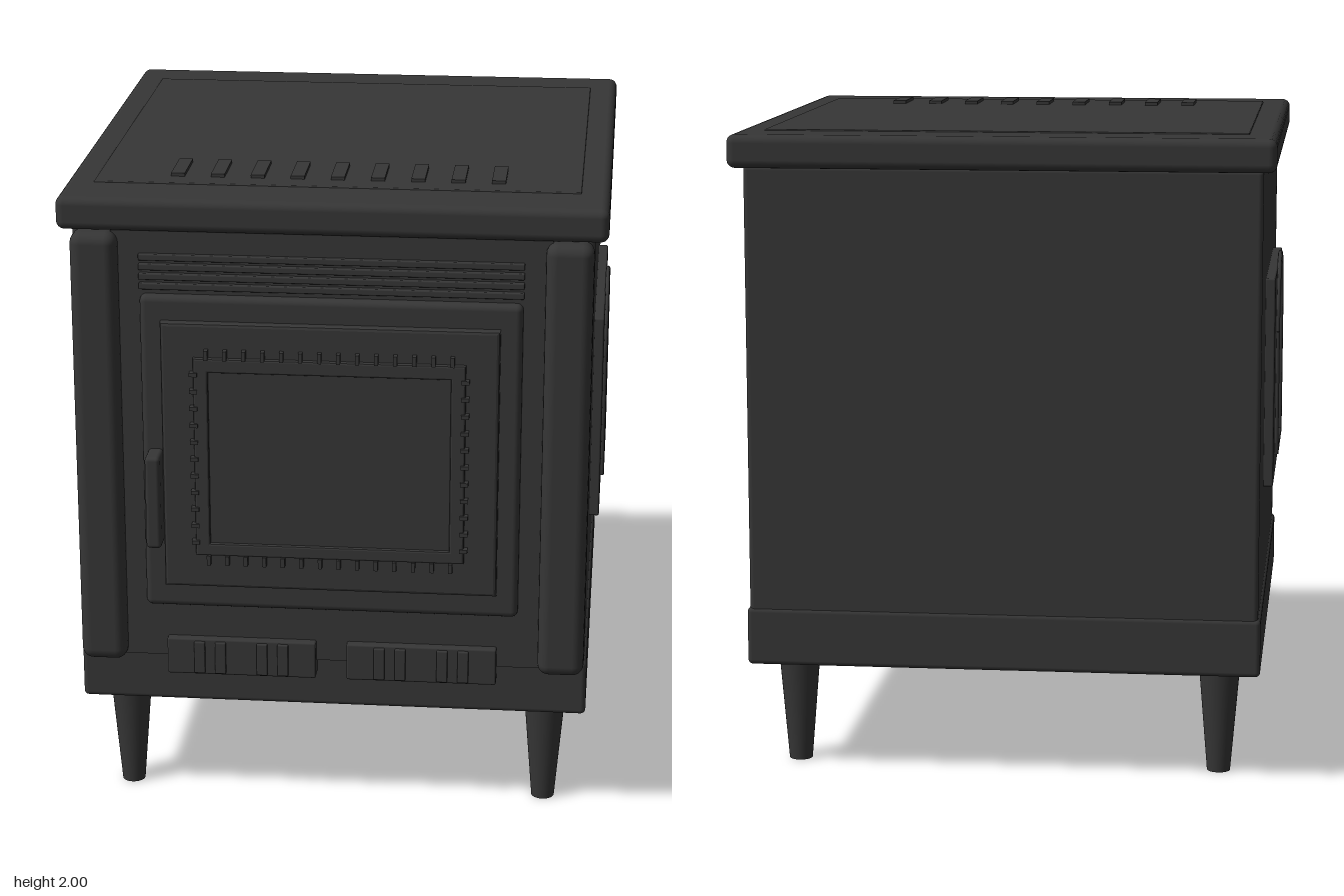
import * as THREE from 'three';
import { RoundedBoxGeometry } from 'three/addons/geometries/RoundedBoxGeometry.js';

const iron = new THREE.MeshStandardMaterial({ color: 0x363636 });
iron.name = 'cast iron';

export function createModel() {
  const stove = new THREE.Group();
  stove.name = 'stove';

  const add = (name, geometry, parent = stove) => {
    const mesh = new THREE.Mesh(geometry, iron);
    mesh.name = name;
    parent.add(mesh);
    return mesh;
  };
  // Box given by its extents, with optional rounded edges
  const box = (name, x0, x1, y0, y1, z0, z1, r = 0, parent = stove) => {
    const size = [x1 - x0, y1 - y0, z1 - z0];
    const g = r ? new RoundedBoxGeometry(...size, 3, r) : new THREE.BoxGeometry(...size);
    add(name, g, parent).position.set((x0 + x1) / 2, (y0 + y1) / 2, (z0 + z1) / 2);
  };
  // Rectangular frame with an opening, extruded along z
  const frame = (name, [x, y0, y1], [hx, hy0, hy1], z0, z1, bevel, parent) => {
    const rect = (path, w, a, b) => path.moveTo(-w, a).lineTo(w, a).lineTo(w, b).lineTo(-w, b).closePath();
    const shape = rect(new THREE.Shape(), x - bevel, y0 + bevel, y1 - bevel);
    shape.holes.push(rect(new THREE.Path(), hx + bevel, hy0 - bevel, hy1 + bevel));
    const g = new THREE.ExtrudeGeometry(shape, {
      depth: z1 - z0 - bevel, bevelEnabled: true, bevelThickness: bevel, bevelSize: bevel, bevelSegments: 2,
    });
    g.translate(0, 0, z0);
    add(name, g, parent);
  };

  // Main casing
  box('body', -0.782, 0.782, 0.5, 1.89, -0.84, 0.755, 0.015);
  box('base', -0.79, 0.79, 0.345, 0.525, -0.845, 0.76, 0.015);
  box('frontPanel', -0.66, 0.66, 0.51, 1.885, 0.74, 0.785);
  box('topSlab', -0.822, 0.822, 1.885, 1.986, -0.9, 0.81, 0.025);
  box('topPlate', -0.735, 0.735, 1.97, 1.99, -0.73, 0.625, 0.004);
  for (let i = 0; i < 9; i++) {
    const x = -0.489 + i * 0.1218;
    box('topSlat', x - 0.021, x + 0.021, 1.985, 2, 0.375, 0.55);
  }

  // Rounded front corner pillars
  for (const s of [-1, 1]) {
    box('pillar', s * 0.71 - 0.071, s * 0.71 + 0.071, 0.5, 1.882, 0.735, 0.833, 0.035);
  }

  // Tapered legs
  for (const x of [-0.66, 0.66]) for (const z of [-0.66, 0.625]) {
    add('leg', new THREE.CylinderGeometry(0.066, 0.036, 0.36, 32)).position.set(x, 0.18, z);
  }

  // Louvre strips above the door
  for (let i = 0; i < 4; i++) {
    const y = 1.705 + i * 0.03;
    box('louvre', -0.577, 0.577, y, y + 0.02, 0.77, 0.8, 0.004);
  }

  // Door: stepped frames around a recessed window
  const door = new THREE.Group();
  door.name = 'door';
  stove.add(door);
  box('doorSurround', -0.575, 0.575, 0.685, 1.69, 0.76, 0.812, 0.02, door);
  frame('doorFrame', [0.51, 0.765, 1.615], [0.4, 0.885, 1.5], 0.8, 0.84, 0.01, door);
  frame('windowFrame', [0.41, 0.875, 1.51], [0.365, 0.915, 1.465], 0.81, 0.855, 0.006, door);
  box('window', -0.38, 0.38, 0.9, 1.48, 0.8, 0.843, 0, door);

  // Small teeth around the window frame
  for (let i = 0; i < 14; i++) {
    const x = -0.37 + i * 0.74 / 13;
    for (const y of [0.862, 1.522]) box('tooth', x - 0.006, x + 0.006, y - 0.015, y + 0.015, 0.835, 0.862, 0, door);
  }
  for (let i = 0; i < 11; i++) {
    const y = 0.92 + i * 0.054;
    for (const x of [-0.409, 0.409]) box('tooth', x - 0.012, x + 0.012, y - 0.006, y + 0.006, 0.835, 0.862, 0, door);
  }
  box('handle', -0.556, -0.51, 0.91, 1.205, 0.805, 0.9, 0.012, door);

  // Air vents with upright bars
  for (const s of [-1, 1]) {
    const c = s * 0.28;
    box('airVent', c - 0.232, c + 0.232, 0.458, 0.577, 0.755, 0.812, 0.006);
    for (const d of [-0.13, -0.065, 0.065, 0.13]) {
      box('ventBar', c + d - 0.017, c + d + 0.017, 0.465, 0.57, 0.805, 0.822, 0.004);
    }
  }

  // Side panels, each with an arched outline
  const arch = new THREE.CurvePath();
  const top = [];
  for (let i = 0; i <= 20; i++) {
    const a = Math.PI * i / 20;
    top.push(new THREE.Vector3(0, 1.325 + 0.225 * Math.sin(a), -0.042 + 0.222 * Math.cos(a)));
  }
  const low = [new THREE.Vector3(0, 0.93, -0.264), new THREE.Vector3(0, 0.93, 0.18)];
  arch.add(new THREE.LineCurve3(low[1], top[0]));
  arch.add(new THREE.CatmullRomCurve3(top));
  arch.add(new THREE.LineCurve3(top[20], low[0]));
  arch.add(new THREE.LineCurve3(low[0], low[1]));
  for (const s of [-1, 1]) {
    box('sidePanel', s * 0.795 - 0.017, s * 0.795 + 0.017, 0.86, 1.518, -0.45, 0.37, 0.006);
    for (const curve of arch.curves) {
      add('sideArch', new THREE.TubeGeometry(curve, 28, 0.007, 8)).position.x = s * 0.816;
    }
  }

  return stove;
}
